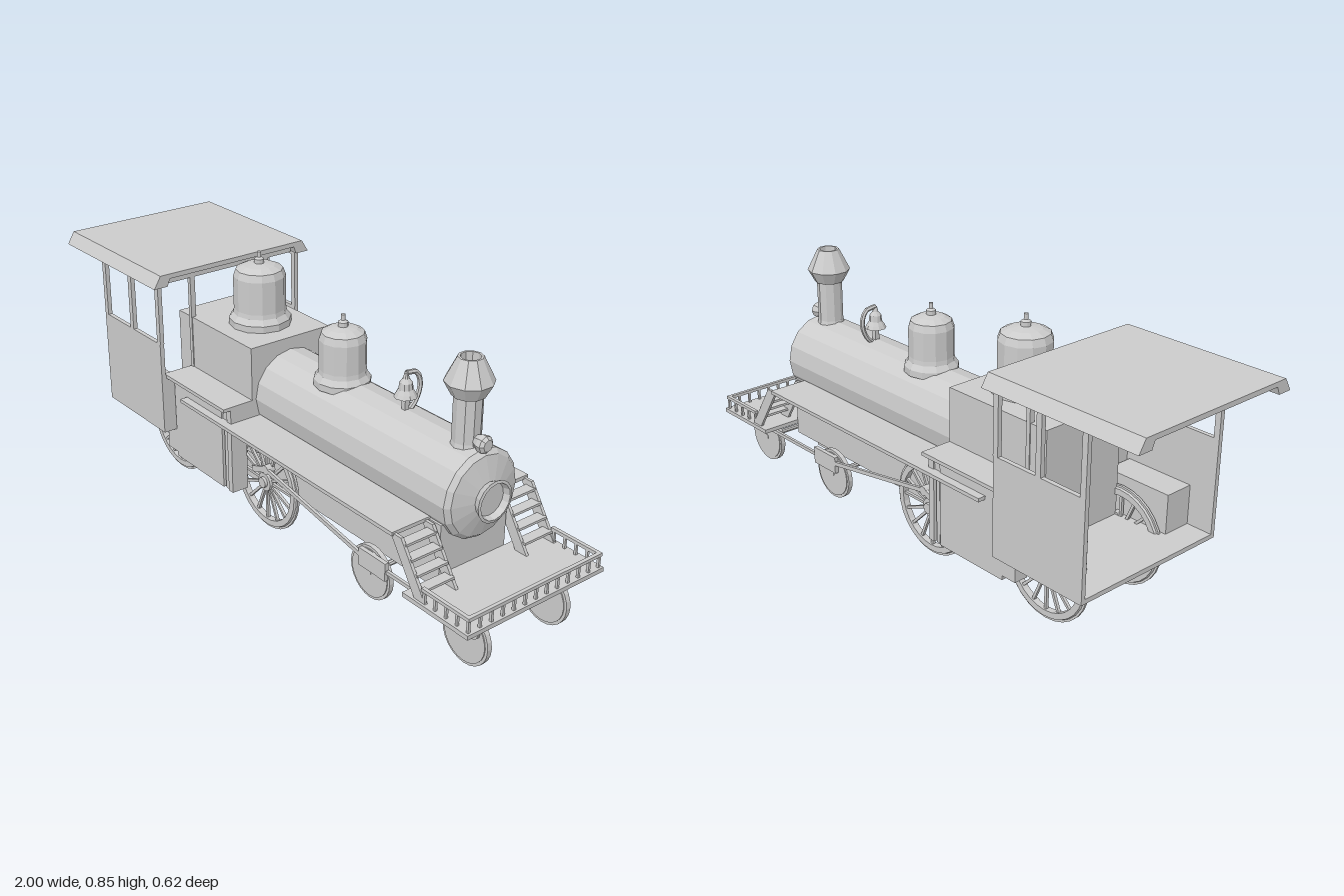
import * as THREE from 'three';

const mat = new THREE.MeshStandardMaterial({ color: 0xcccccc, flatShading: true, side: THREE.DoubleSide });

export function createModel() {
  const root = new THREE.Group();
  root.name = 'steamLocomotive';

  const add = (name, geo, x = 0, y = 0, z = 0, parent = root) => {
    const m = new THREE.Mesh(geo, mat);
    m.name = name;
    m.position.set(x, y, z);
    parent.add(m);
    return m;
  };
  // box given by its limits on each axis
  const box = (name, x0, x1, y0, y1, z0, z1, parent = root) =>
    add(name, new THREE.BoxGeometry(x1 - x0, y1 - y0, z1 - z0), (x0 + x1) / 2, (y0 + y1) / 2, (z0 + z1) / 2, parent);
  // the same box on both sides (z0, z1 are distances from the middle)
  const pair = (name, x0, x1, y0, y1, z0, z1) => {
    box(name, x0, x1, y0, y1, z0, z1);
    box(name, x0, x1, y0, y1, -z1, -z0);
  };
  const lathe = (pts, sides) => new THREE.LatheGeometry(pts.map(p => new THREE.Vector2(...p)), sides);
  const cylZ = (r, len, sides = 12) => new THREE.CylinderGeometry(r, r, len, sides).rotateX(Math.PI / 2);
  const shape = pts => new THREE.Shape(pts.map(p => new THREE.Vector2(...p)));
  const extrude = (pts, depth) => new THREE.ExtrudeGeometry(shape(pts), { depth, bevelEnabled: false });
  // flat bar between two points in a plane of constant z
  const rod = (name, x0, y0, x1, y1, z, h = 0.014, t = 0.01) => {
    const m = add(name, new THREE.BoxGeometry(Math.hypot(x1 - x0, y1 - y0), h, t), (x0 + x1) / 2, (y0 + y1) / 2, z);
    m.rotation.z = Math.atan2(y1 - y0, x1 - x0);
  };

  // boiler with conical front and open smokebox door ring
  add('boiler', lathe([[0, -0.13], [0.14, -0.13], [0.14, 0.755], [0.126, 0.77], [0.06, 0.788],
    [0.053, 0.79], [0.066, 0.815], [0.057, 0.817], [0.052, 0.795], [0, 0.795]], 16).rotateZ(-Math.PI / 2), 0, 0.425);
  box('boilerCradle', -0.12, 0.74, 0.15, 0.36, -0.13, 0.13);
  box('firebox', -0.535, -0.12, 0.23, 0.605, -0.155, 0.155);
  box('ashPan', -0.45, -0.12, 0.115, 0.36, -0.13, 0.13);

  // domes with flared foot and finial
  const dome = (name, x, y, r, h) => add(name, lathe([[r * 1.2, 0], [r * 1.2, 0.022], [r * 1.03, 0.04], [r, 0.055],
    [r, h - 0.035], [r * 0.9, h - 0.012], [r * 0.6, h], [0.016, h + 0.006], [0.016, h + 0.02], [0.007, h + 0.026],
    [0.007, h + 0.044], [0, h + 0.044]], 12), x, y);
  dome('steamDome', -0.285, 0.605, 0.086, 0.2);
  dome('sandDome', 0.145, 0.54, 0.075, 0.185);

  // chimney and headlamp
  add('chimney', lathe([[0.052, 0.53], [0.043, 0.57], [0.043, 0.708], [0.05, 0.708], [0.073, 0.75], [0.037, 0.822],
    [0.03, 0.822], [0.03, 0.77], [0, 0.77]], 10), 0.69);
  add('headlamp', lathe([[0, -0.02], [0.018, -0.02], [0.027, 0], [0.027, 0.015], [0.018, 0.024], [0, 0.024]], 8)
    .rotateZ(-Math.PI / 2), 0.752, 0.582);

  // bell hung from a curved bracket
  add('bell', lathe([[0.036, 0], [0.03, 0.012], [0.022, 0.025], [0.02, 0.045], [0.01, 0.058], [0.006, 0.075], [0, 0.075]], 10),
    0.435, 0.605);
  const arc = new THREE.CatmullRomCurve3([[0, 0.55, -0.01], [0, 0.58, -0.04], [0, 0.63, -0.056], [0, 0.672, -0.04], [0, 0.68, 0]]
    .map(p => new THREE.Vector3(...p)));
  add('bellBracket', new THREE.TubeGeometry(arc, 10, 0.008, 6), 0.435);
  box('bellPost', 0.427, 0.443, 0.55, 0.615, -0.008, 0.008);

  // cab: floor, side walls, window posts, front wall and benches
  box('cabFloor', -0.81, -0.455, 0.215, 0.23, -0.285, 0.285);
  pair('cabSide', -0.81, -0.455, 0.215, 0.54, 0.27, 0.285);
  for (const x of [-0.81, -0.642, -0.473]) pair('cabPost', x, x + 0.02, 0.54, 0.75, 0.27, 0.285);
  pair('cabTopRail', -0.81, -0.453, 0.73, 0.75, 0.27, 0.285);
  pair('cabFrontPanel', -0.47, -0.455, 0.215, 0.425, 0.15, 0.285);
  pair('cabFrontPost', -0.47, -0.455, 0.42, 0.775, 0.14, 0.158);
  box('cabFrontRail', -0.47, -0.455, 0.745, 0.775, -0.255, 0.255);
  pair('cabBench', -0.72, -0.48, 0.23, 0.36, 0.17, 0.27);
  add('cabRoof', extrude([[-0.31, 0.745], [-0.285, 0.786], [0.285, 0.786], [0.31, 0.745], [0.26, 0.745], [0.25, 0.77],
    [-0.25, 0.77], [-0.26, 0.745]], 0.57).rotateY(Math.PI / 2), -1);
  pair('cabStep', -0.505, -0.45, 0.13, 0.215, 0.19, 0.24);

  // side tanks, shelves and running boards
  pair('sideBox', -0.45, -0.172, 0.115, 0.42, 0.18, 0.24);
  pair('sideStrip', -0.165, -0.15, 0.115, 0.42, 0.19, 0.235);
  pair('sideEnd', -0.143, -0.12, 0.115, 0.42, 0.18, 0.24);
  pair('sideBoxCover', -0.45, -0.12, 0.34, 0.42, 0.13, 0.235);
  pair('shelf', -0.455, -0.12, 0.413, 0.425, 0.13, 0.267);
  pair('runningBoard', -0.375, 0.69, 0.354, 0.366, 0.12, 0.267);

  // front deck with railing
  box('frontDeck', 0.74, 1, 0.185, 0.199, -0.268, 0.268);
  pair('sideRail', 0.81, 0.995, 0.236, 0.247, 0.25, 0.262);
  box('frontRail', 0.983, 0.995, 0.236, 0.247, -0.262, 0.262);
  for (let i = 0; i < 5; i++) {
    const x = 0.815 + i * 0.0425;
    pair('sideBaluster', x, x + 0.008, 0.199, 0.238, 0.252, 0.26);
  }
  for (let i = 0; i < 13; i++) {
    const z = -0.256 + i * 0.512 / 12;
    box('frontBaluster', 0.985, 0.993, 0.199, 0.238, z - 0.004, z + 0.004);
  }

  // stairs from deck to running board
  for (const s of [-1, 1]) {
    for (const z of [0.14, 0.255]) {
      add('stairStringer', extrude([[0.675, 0.36], [0.72, 0.36], [0.825, 0.199], [0.78, 0.199]], 0.01), 0, 0, s * z - 0.005);
    }
  }
  for (let i = 0; i < 4; i++) {
    const x = 0.70 + i * 0.026, y = 0.34 - i * 0.036;
    pair('stairTread', x, x + 0.035, y - 0.005, y + 0.003, 0.14, 0.255);
  }

  // spoked driving wheels on axles
  const rimGeo = lathe([[0.135, -0.011], [0.155, -0.011], [0.158, -0.004], [0.165, -0.004], [0.165, 0.004], [0.158, 0.004],
    [0.155, 0.011], [0.135, 0.011], [0.135, -0.011]], 28).rotateX(Math.PI / 2);
  const spokeGeo = new THREE.BoxGeometry(0.115, 0.009, 0.01).translate(0.082, 0, 0);
  for (const x of [-0.555, -0.04]) {
    add('drivingAxle', cylZ(0.014, 0.34), x, 0.168);
    for (const s of [-1, 1]) {
      const wheel = new THREE.Group();
      wheel.name = 'drivingWheel';
      wheel.position.set(x, 0.168, s * 0.157);
      root.add(wheel);
      add('rim', rimGeo, 0, 0, 0, wheel);
      add('hub', cylZ(0.032, 0.028), 0, 0, 0, wheel);
      add('hubCap', cylZ(0.018, 0.012), 0, 0, s * 0.018, wheel);
      for (let i = 0; i < 16; i++) add('spoke', spokeGeo, 0, 0, 0, wheel).rotation.z = i * Math.PI / 8;
      add('crankPin', cylZ(0.016, 0.03), 0.02, 0.055, s * 0.01, wheel);
    }
  }

  // small disc wheels of the leading truck
  for (const x of [0.485, 0.89]) {
    add('truckAxle', cylZ(0.009, 0.34, 8), x, 0.092);
    for (const s of [-1, 1]) {
      add('truckWheel', cylZ(0.089, 0.016, 24), x, 0.091, s * 0.157);
      add('truckFlange', cylZ(0.08, 0.022, 24), x, 0.091, s * 0.157);
    }
  }
  box('truckBeam', 0.49, 0.89, 0.085, 0.1, -0.015, 0.015);
  box('truckBlock', 0.64, 0.73, 0.08, 0.19, -0.055, 0.055);
  box('deckBrace', 0.88, 0.9, 0.085, 0.19, -0.012, 0.012);

  // cylinders, rods and truck side bars
  pair('steamCylinder', 0.45, 0.57, 0.108, 0.168, 0.168, 0.182);
  for (const s of [-1, 1]) {
    rod('mainRod', -0.02, 0.225, 0.47, 0.142, s * 0.177);
    rod('valveRod', -0.09, 0.2, -0.02, 0.225, s * 0.177, 0.02);
    rod('sideBar', 0.57, 0.137, 0.93, 0.137, s * 0.172, 0.012);
    add('barEnd', cylZ(0.02, 0.012), 0.93, 0.13, s * 0.172);
  }
  return root;
}
